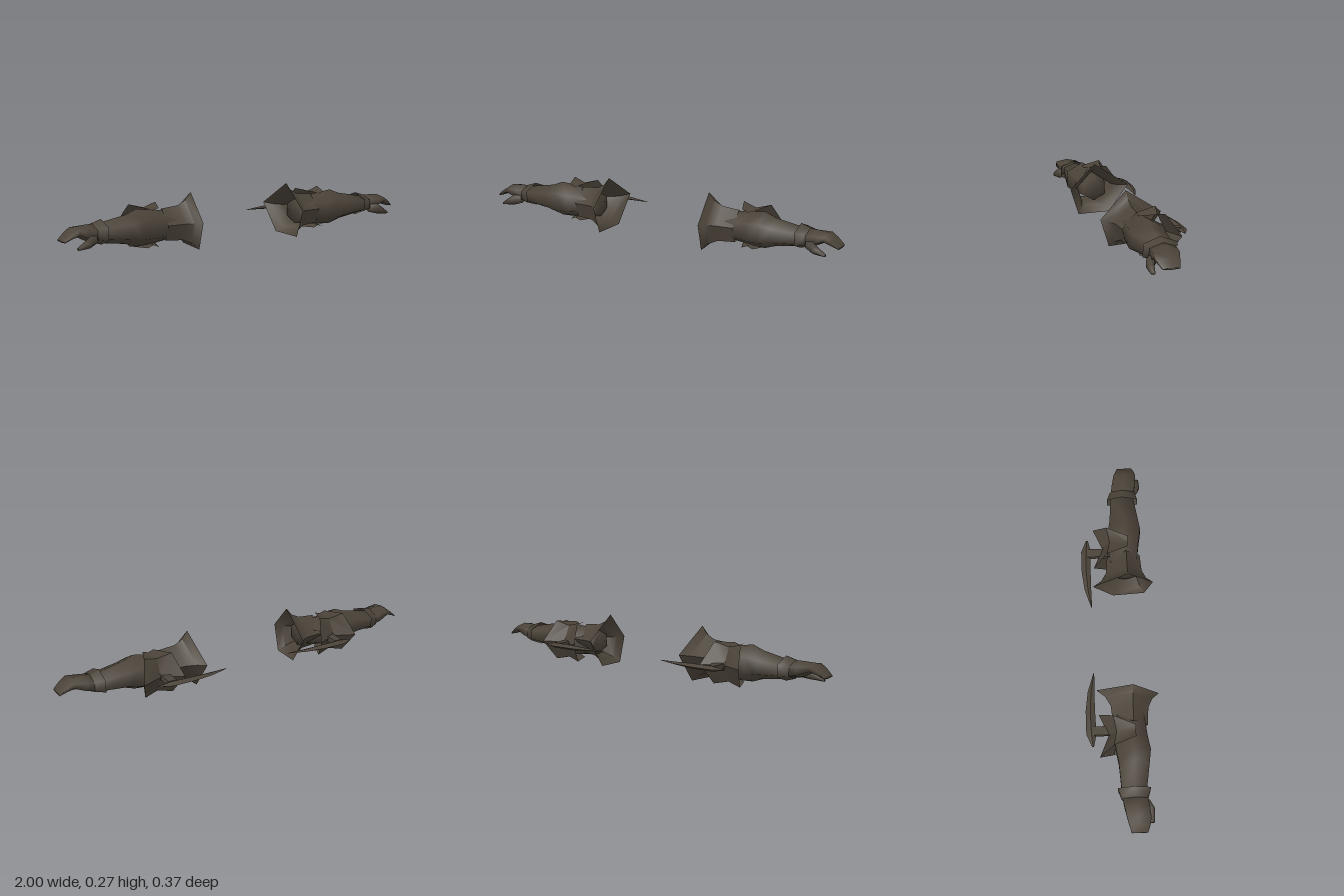
import * as THREE from 'three';
import { toCreasedNormals } from 'three/addons/utils/BufferGeometryUtils.js';

// Skin a list of rings (each a list of [x, y, z]); side = -1 mirrors across x
function skin(rings, side, { closed = true, caps = true, crease = 0 } = {}) {
  const n = rings[0].length;
  const pos = rings.flat().flatMap(([x, y, z]) => [x * side, y, z]);
  const index = [];
  const tri = (a, b, c) => index.push(...(side > 0 ? [a, b, c] : [a, c, b]));
  for (let i = 0; i < rings.length - 1; i++) {
    for (let j = 0; j < (closed ? n : n - 1); j++) {
      const k = (j + 1) % n;
      const a = i * n + j, b = i * n + k, c = a + n, d = b + n;
      tri(a, b, c);
      tri(b, d, c);
    }
  }
  if (closed && caps) {
    const last = (rings.length - 1) * n;
    for (let j = 1; j < n - 1; j++) {
      tri(0, j + 1, j);
      tri(last, last + j, last + j + 1);
    }
  }
  const geo = new THREE.BufferGeometry();
  geo.setAttribute('position', new THREE.Float32BufferAttribute(pos, 3));
  geo.setIndex(index);
  if (crease) return toCreasedNormals(geo, crease);
  geo.computeVertexNormals();
  return geo;
}

// Polygon ring that fills the box yMin..yMax, zMin..zMax at x
function ring([x, y0, y1, z0, z1], n) {
  const widen = n === 6 ? 1 / Math.sin(Math.PI / 3) : 1;
  return Array.from({ length: n }, (_, j) => {
    const a = (j / n) * Math.PI * 2;
    return [
      x,
      (y0 + y1) / 2 + Math.cos(a) * (y1 - y0) / 2,
      (z0 + z1) / 2 + Math.sin(a) * widen * (z1 - z0) / 2,
    ];
  });
}
const tube = (sections, n, side, options) => skin(sections.map(s => ring(s, n)), side, options);

// Sections: x, yMin, yMax, zMin, zMax
const FOREARM = [
  [0.36, 0.06, 0.185, -0.02, 0.10], [0.46, 0.045, 0.20, -0.04, 0.11],
  [0.53, 0.035, 0.208, -0.05, 0.118], [0.60, 0.035, 0.218, -0.04, 0.13],
  [0.66, 0.055, 0.195, -0.03, 0.122], [0.81, 0.075, 0.167, -0.02, 0.10],
];
const WRIST = [
  [0.785, 0.065, 0.187, -0.04, 0.122], [0.835, 0.08, 0.172, -0.022, 0.108],
];
const HAND = [
  [0.81, 0.08, 0.17, -0.02, 0.10], [0.87, 0.092, 0.17, -0.012, 0.112],
  [0.93, 0.122, 0.167, 0, 0.118], [0.965, 0.112, 0.142, 0.01, 0.112],
  [0.998, 0.10, 0.112, 0.02, 0.10],
];
const THUMB = [
  [0.84, 0.08, 0.13, 0.07, 0.115], [0.88, 0.07, 0.125, 0.098, 0.138],
  [0.91, 0.068, 0.105, 0.108, 0.138], [0.945, 0.066, 0.08, 0.115, 0.135],
];
const BLADE = [
  [0.18, 0.119, 0.121, -0.142, -0.138], [0.28, 0.113, 0.127, -0.174, -0.14],
  [0.38, 0.107, 0.133, -0.187, -0.14], [0.50, 0.107, 0.133, -0.187, -0.136],
  [0.565, 0.118, 0.122, -0.16, -0.15],
];

// Flared five-sided sleeve: mouth outline [y, z] about its centre, then [x, scale]
const MOUTH = [[0.152, 0.01], [0.015, 0.14], [-0.122, 0.097], [-0.115, -0.07], [0.03, -0.175]];
const SLEEVE = [[0.295, 1], [0.325, 0.75], [0.37, 0.6], [0.46, 0.55]];

// Elbow guard: [half width, inner y, inner z, outer y, outer z]
const GUARD = [
  [0.03, 0.205, 0.06, 0.215, 0.06], [0.075, 0.208, -0.035, 0.228, -0.05],
  [0.11, 0.123, -0.075, 0.123, -0.122],
  [0.075, 0.037, -0.035, 0.02, -0.05], [0.03, 0.035, 0.06, 0.023, 0.06],
];

export function createModel() {
  const model = new THREE.Group();
  model.name = 'armorGauntlets';
  const leather = new THREE.MeshStandardMaterial({ color: 0x4b4339, side: THREE.DoubleSide });
  leather.name = 'darkLeather';

  for (const side of [1, -1]) {
    const arm = new THREE.Group();
    arm.name = side > 0 ? 'leftGauntlet' : 'rightGauntlet';
    const add = (name, geo) => {
      const mesh = new THREE.Mesh(geo, leather);
      mesh.name = name;
      arm.add(mesh);
      return mesh;
    };

    // Arm and hand
    add('forearm', tube(FOREARM, 6, side));
    add('wristCuff', tube(WRIST, 6, side, { caps: false }));
    add('hand', tube(HAND, 6, side));
    add('thumb', tube(THUMB, 6, side));

    // Open flared sleeve, its mouth slightly slanted
    const sleeve = SLEEVE.map(([x, s]) =>
      MOUTH.map(([y, z]) => [x + 0.07 * z * s, 0.125 + y * s, 0.045 + z * s]));
    add('flaredSleeve', skin(sleeve, side, { caps: false, crease: 1.0 }));

    // Pointed guard wrapped over the back of the elbow
    const edge = dir => GUARD.map(([w, , , y, z]) => [0.512 + dir * w, y, z]).reverse();
    const middle = GUARD.map(([, y, z]) => [0.512, y, z]).reverse();
    add('elbowGuard', skin([edge(-1), middle, edge(1)], side, { closed: false, crease: 0.6 }));

    // Elbow blade on its stem
    const stem = add('bladeStem', new THREE.BoxGeometry(0.045, 0.026, 0.11));
    stem.position.set(side * 0.487, 0.12, -0.1);
    add('elbowBlade', tube(BLADE, 4, side, { crease: 0.6 }));

    model.add(arm);
  }
  return model;
}
